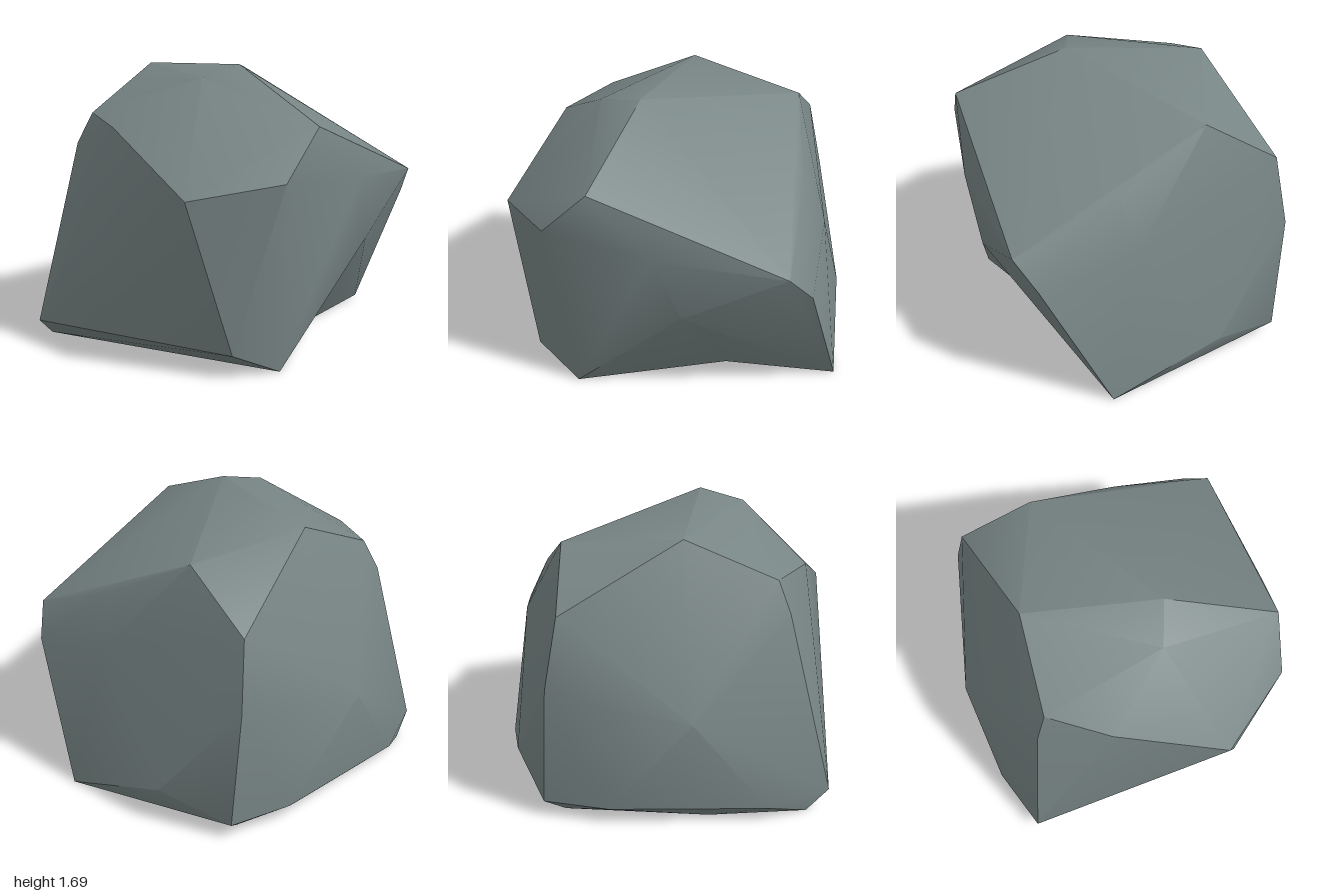
import * as THREE from 'three';
import { toCreasedNormals } from 'three/addons/utils/BufferGeometryUtils.js';
import { ConvexGeometry } from 'three/addons/geometries/ConvexGeometry.js';

const v = (x, y, z) => new THREE.Vector3(x, y, z);

export function createModel() {
  const group = new THREE.Group();
  group.name = 'boulder';
  const stone = new THREE.MeshStandardMaterial({ color: 0x788585 });
  stone.name = 'greyStone';

  // Ground contact corners; the notch is the undercut on the +x side
  const frontRight = v(-0.82, 0, 0.70), midRight = v(-0.80, 0, 0.12), backRight = v(-0.62, 0, -0.71);
  const backLeft = v(0.43, 0, -1), notch = v(0.42, 0, -0.33), frontLeft = v(0.72, 0, 0.54);
  const overhang = v(0.92, 0.67, -0.12);

  const corners = [
    frontRight, midRight, backRight, backLeft, frontLeft, overhang,
    // lower rim
    v(0.57, 0.145, 0.81), v(-0.80, 0.12, 0.84), v(-0.92, 0.09, 0.45),
    v(-0.83, 0.10, -0.47), v(-0.69, 0.10, -0.84), v(-0.26, 0.23, -0.98),
    // middle
    v(-0.96, 0.68, 0), v(0.81, 0.81, -0.85), v(0.915, 0.985, -0.72), v(0.955, 1.07, 0.04),
    v(-0.74, 0.84, -0.81), v(0.23, 0.96, -0.88), v(0.385, 1.04, 1), v(0.83, 1.13, 0.68),
    // shoulders and crown
    v(0.88, 1.41, 0.41), v(0.29, 1.25, -0.74), v(-0.69, 1.26, -0.73), v(-0.26, 1.55, -0.67),
    v(-0.66, 1.20, 0.60), v(-0.59, 1.38, 0.54), v(-0.26, 1.35, 0.77),
    v(-0.54, 1.63, 0), v(0.145, 1.63, 0.46), v(0.24, 1.69, 0.21),
  ];

  // Convex hull, leaving out the base and the side face that gets undercut
  const hull = new ConvexGeometry(corners).getAttribute('position');
  const points = [];
  const undercut = [overhang, frontLeft, backLeft];
  for (let i = 0; i < hull.count; i += 3) {
    const tri = [0, 1, 2].map((k) => new THREE.Vector3().fromBufferAttribute(hull, i + k));
    const isBase = tri.every((p) => p.y < 1e-5);
    const isCut = tri.every((p) => undercut.some((q) => q.distanceTo(p) < 1e-4));
    if (!isBase && !isCut) points.push(...tri);
  }

  // Undercut faces and notched base
  points.push(overhang, frontLeft, notch, overhang, notch, backLeft);
  const base = [midRight, backRight, backLeft, notch, frontLeft];
  for (let i = 0; i < base.length - 1; i++) points.push(frontRight, base[i], base[i + 1]);

  // Soft facets with sharp creases
  const geometry = toCreasedNormals(new THREE.BufferGeometry().setFromPoints(points), 0.56);
  const rock = new THREE.Mesh(geometry, stone);
  rock.name = 'rock';
  group.add(rock);
  return group;
}
